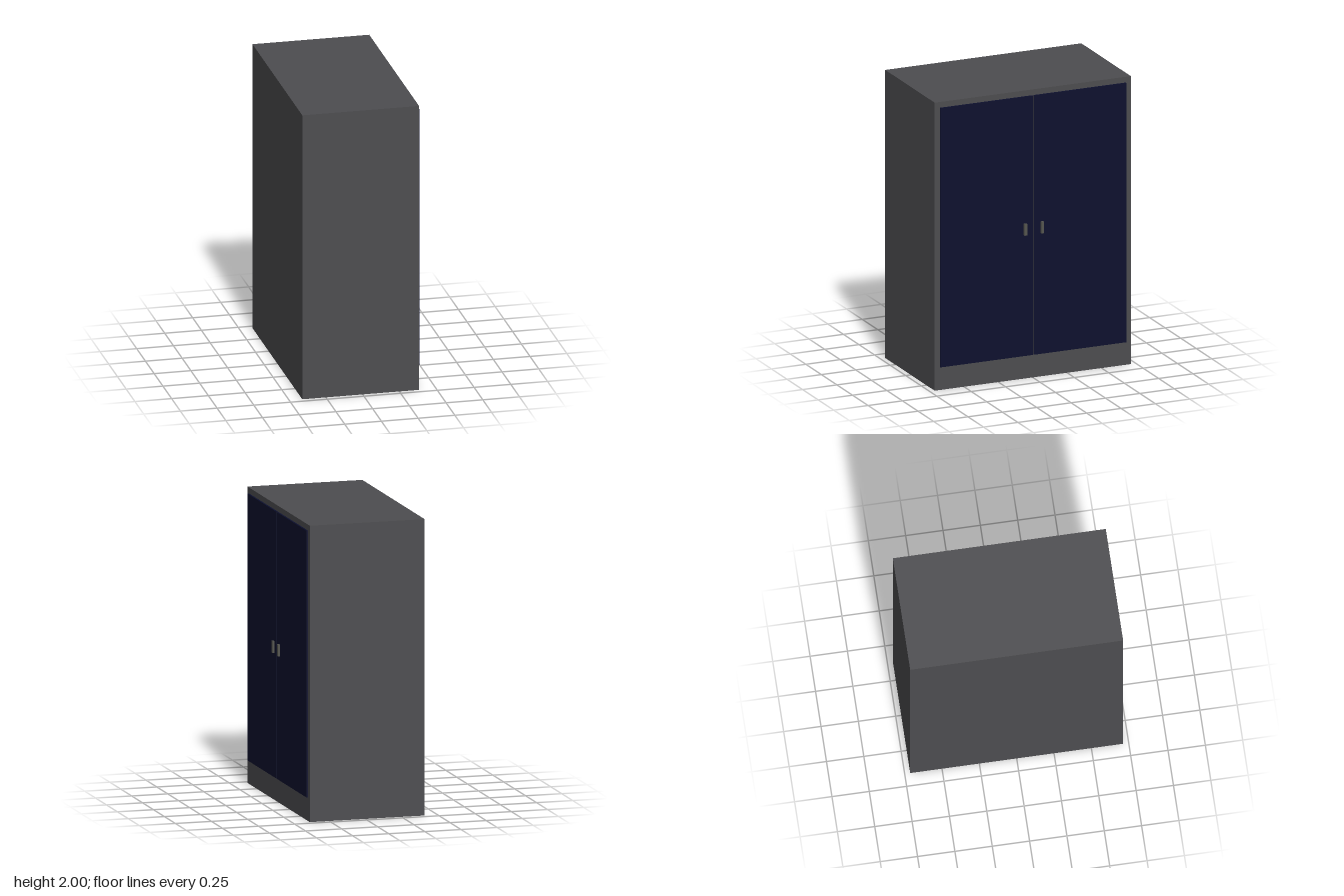
import * as THREE from 'three';

// Box given by its minimum and maximum corners
function block(name, material, min, max) {
  const size = max.map((v, i) => v - min[i]);
  const mesh = new THREE.Mesh(new THREE.BoxGeometry(...size), material);
  mesh.position.set(...max.map((v, i) => (v + min[i]) / 2));
  mesh.name = name;
  return mesh;
}

export function createModel() {
  const model = new THREE.Group();
  model.name = 'cabinet';
  const bodyGrey = new THREE.MeshStandardMaterial({ color: 0x4d4d50 });
  const doorBlue = new THREE.MeshStandardMaterial({ color: 0x0c0f2e });
  const handleGrey = new THREE.MeshStandardMaterial({ color: 0x55554f });

  const face = 0.384; // x of the cabinet face that carries the doors
  const doorFace = 0.396;

  // Solid carcass
  model.add(block('carcass', bodyGrey, [-0.411, 0, -0.713], [face, 2, 0.713]));

  // Pair of doors, each with a pull handle near the centre gap
  for (const [label, s] of [['near', 1], ['far', -1]]) {
    const span = (a, b) => (s > 0 ? [a, b] : [-b, -a]);
    const [d0, d1] = span(0.005, 0.676);
    const [h0, h1] = span(0.052, 0.071);
    const leaf = new THREE.Group();
    leaf.name = label + 'DoorLeaf';
    leaf.add(block(label + 'Door', doorBlue, [face, 0.16, d0], [doorFace, 1.96, d1]));
    leaf.add(block(label + 'Handle', handleGrey, [doorFace, 1.0, h0], [0.411, 1.08, h1]));
    model.add(leaf);
  }
  return model;
}
